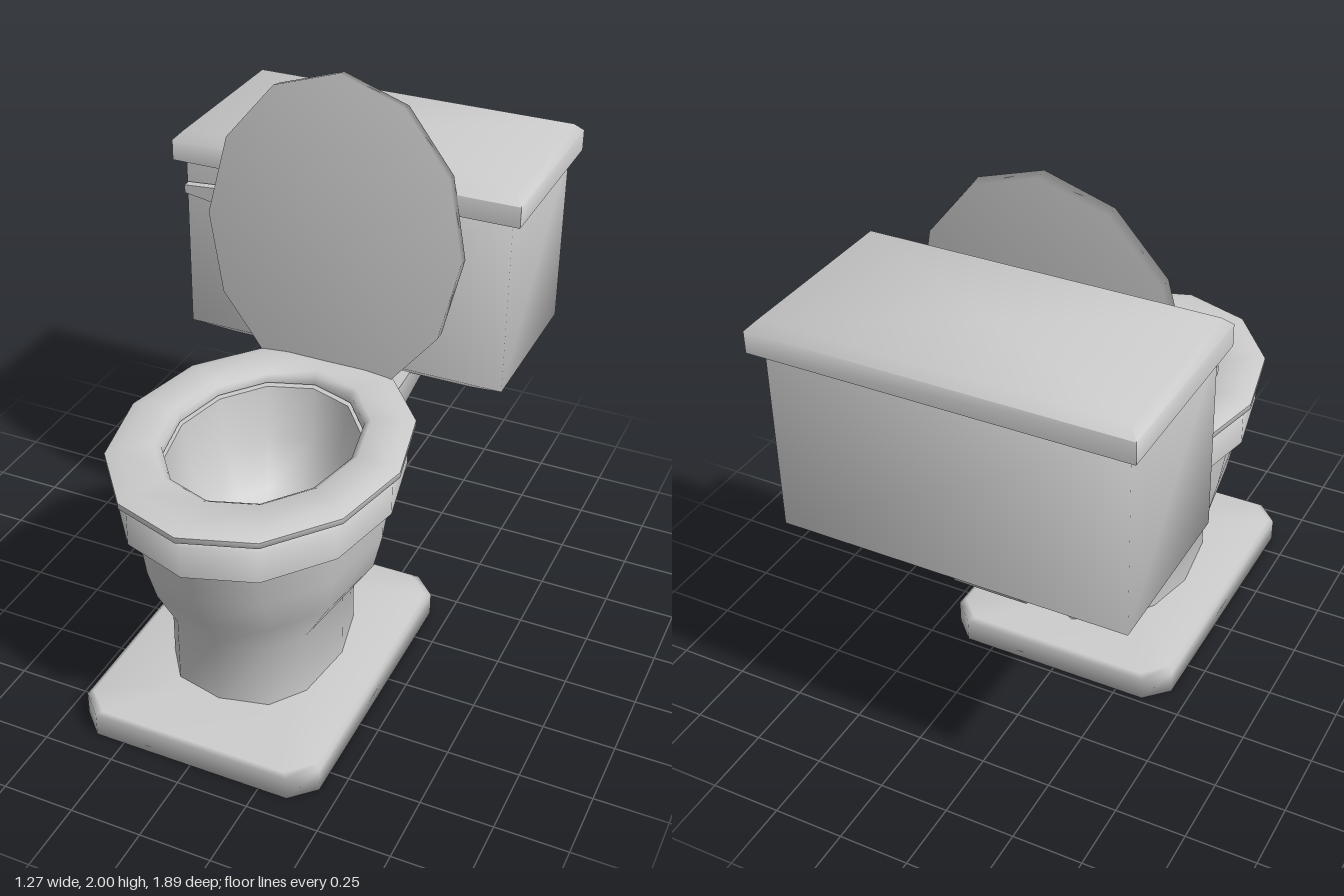
import * as THREE from 'three';
import { toCreasedNormals } from 'three/addons/utils/BufferGeometryUtils.js';

const material = new THREE.MeshStandardMaterial({ color: 0xcccccc });

// Twelve-sided horizontal ring; a power above 2 is boxier, below 2 more pointed.
function oval(y, rx, zBack, zFront, frontPower = 2, backPower = 2) {
  const cz = (zBack + zFront) / 2, rz = (zFront - zBack) / 2;
  return Array.from({ length: 12 }, (_, i) => {
    const a = i / 12 * Math.PI * 2, s = Math.sin(a), c = Math.cos(a);
    const power = c < 0 ? backPower : frontPower;
    const bend = v => Math.abs(v) < 1e-6 ? 0 : Math.sign(v) * Math.abs(v) ** (2 / power);
    return [rx * bend(s), y, cz + rz * bend(c)];
  });
}

// Horizontal rectangle ring, with cut corners when c > 0.
function rect(y, w, zBack, zFront, c = 0) {
  if (!c) return [[-w, y, zFront], [w, y, zFront], [w, y, zBack], [-w, y, zBack]];
  return [
    [-w + c, y, zFront], [w - c, y, zFront], [w, y, zFront - c], [w, y, zBack + c],
    [w - c, y, zBack], [-w + c, y, zBack], [-w, y, zBack + c], [-w, y, zFront - c],
  ];
}

// Skin a stack of equal-length rings; ends are capped unless the stack is closed.
// Without a crease angle the whole part is smooth.
function loft(name, rings, { closed = false, crease = 0 } = {}) {
  const n = rings[0].length, points = rings.flat(), index = [];
  const last = closed ? rings.length : rings.length - 1;
  for (let i = 0; i < last; i++) {
    const k = (i + 1) % rings.length;
    for (let j = 0; j < n; j++) {
      const m = (j + 1) % n;
      const a = i * n + j, b = i * n + m, c = k * n + m, d = k * n + j;
      index.push(a, b, c, a, c, d);
    }
  }
  if (!closed) {
    for (const [ring, start] of [[rings[0], 0], [rings.at(-1), (rings.length - 1) * n]]) {
      const centre = points.length;
      points.push([0, 1, 2].map(k => ring.reduce((s, p) => s + p[k], 0) / n));
      for (let j = 0; j < n; j++) {
        const p = start + j, q = start + (j + 1) % n;
        index.push(centre, ...(start === 0 ? [q, p] : [p, q]));
      }
    }
  }
  const geometry = new THREE.BufferGeometry();
  geometry.setAttribute('position', new THREE.Float32BufferAttribute(points.flat(), 3));
  geometry.setIndex(index);
  geometry.computeVertexNormals();
  const mesh = new THREE.Mesh(crease ? toCreasedNormals(geometry, crease) : geometry, material);
  mesh.name = name;
  return mesh;
}

export function createModel() {
  const model = new THREE.Group();
  model.name = 'toilet';

  // Foot plate with cut corners and a gently sloping top
  model.add(loft('base', [
    rect(0, 0.433, -0.23, 0.915, 0.08),
    rect(0.085, 0.433, -0.23, 0.915, 0.08),
    rect(0.095, 0.415, -0.21, 0.9, 0.08),
    rect(0.12, 0.25, -0.05, 0.69, 0.1),
  ]));

  // Pedestal flaring into the bowl, over the rim and down into the basin
  model.add(loft('bowl', [
    oval(0.09, 0.28, -0.08, 0.7, 2.7, 1.9),
    oval(0.36, 0.28, -0.08, 0.7, 2.7, 1.9),
    oval(0.5, 0.375, -0.23, 0.78, 2.3, 1.6),
    oval(0.63, 0.405, -0.29, 0.84, 2.1, 1.6),
    oval(0.785, 0.42, -0.22, 0.875),
    oval(0.785, 0.46, -0.235, 0.915),
    oval(0.9, 0.46, -0.235, 0.915),
    oval(0.912, 0.45, -0.225, 0.9),
    oval(0.912, 0.305, -0.06, 0.725),
    oval(0.72, 0.275, -0.03, 0.69),
    oval(0.57, 0.19, 0.07, 0.59),
    oval(0.5, 0.09, 0.2, 0.46),
  ], { crease: 1.2 }));

  // Shelf reaching back under the tank: z, half width, top, side and bottom heights
  const shelf = [
    [-0.09, 0.26, 0.9, 0.79, 0.7],
    [-0.2, 0.26, 0.9, 0.77, 0.655],
    [-0.3, 0.24, 0.87, 0.76, 0.66],
    [-0.66, 0.22, 0.87, 0.8, 0.68],
    [-0.75, 0.15, 0.87, 0.82, 0.79],
  ].map(([z, w, top, mid, low]) => [
    [-w, top, z], [w, top, z], [w, mid, z], [w * 0.6, low, z], [-w * 0.6, low, z], [-w, mid, z],
  ]);
  model.add(loft('tankShelf', shelf, { crease: 1.2 }));

  // Seat ring
  model.add(loft('seat', [
    oval(0.922, 0.465, -0.24, 0.92),
    oval(0.935, 0.485, -0.26, 0.942),
    oval(0.955, 0.485, -0.26, 0.942),
    oval(0.97, 0.44, -0.21, 0.89),
    oval(0.968, 0.335, -0.095, 0.755),
    oval(0.955, 0.313, -0.07, 0.732),
    oval(0.922, 0.313, -0.07, 0.732),
  ], { closed: true, crease: 1.2 }));

  // Raised lid, leaning back
  const lid = loft('lid', [
    oval(-0.022, 0.463, -0.565, 0.565),
    oval(0.022, 0.465, -0.57, 0.57),
  ]);
  lid.rotation.x = Math.PI / 2 - 0.086;
  lid.position.set(0, 1.43, -0.222);
  model.add(lid);

  // Tank and its cover
  model.add(loft('tank', [
    rect(0.865, 0.46, -0.83, -0.37),
    rect(0.92, 0.6, -0.9, -0.3),
    rect(1.58, 0.6, -0.9, -0.3),
  ]));
  model.add(loft('tankCover', [
    rect(1.57, 0.635, -0.945, -0.265),
    rect(1.645, 0.635, -0.945, -0.265),
    rect(1.675, 0.605, -0.915, -0.295),
  ], { crease: 1.5 }));

  // Flush handle: round hub and tapering lever
  const handle = new THREE.Group();
  handle.name = 'flushHandle';
  const hub = new THREE.Mesh(new THREE.CylinderGeometry(0.055, 0.055, 0.05, 12), material);
  hub.name = 'handleHub';
  hub.rotation.x = Math.PI / 2;
  hub.position.set(-0.4, 1.445, -0.283);
  const outline = new THREE.Shape([
    [-0.59, 1.455], [-0.4, 1.425], [-0.4, 1.5], [-0.59, 1.485],
  ].map(p => new THREE.Vector2(...p)));
  const lever = new THREE.Mesh(
    new THREE.ExtrudeGeometry(outline, { depth: 0.03, bevelEnabled: false }), material);
  lever.name = 'handleLever';
  lever.position.z = -0.29;
  handle.add(hub, lever);
  model.add(handle);

  return model;
}
